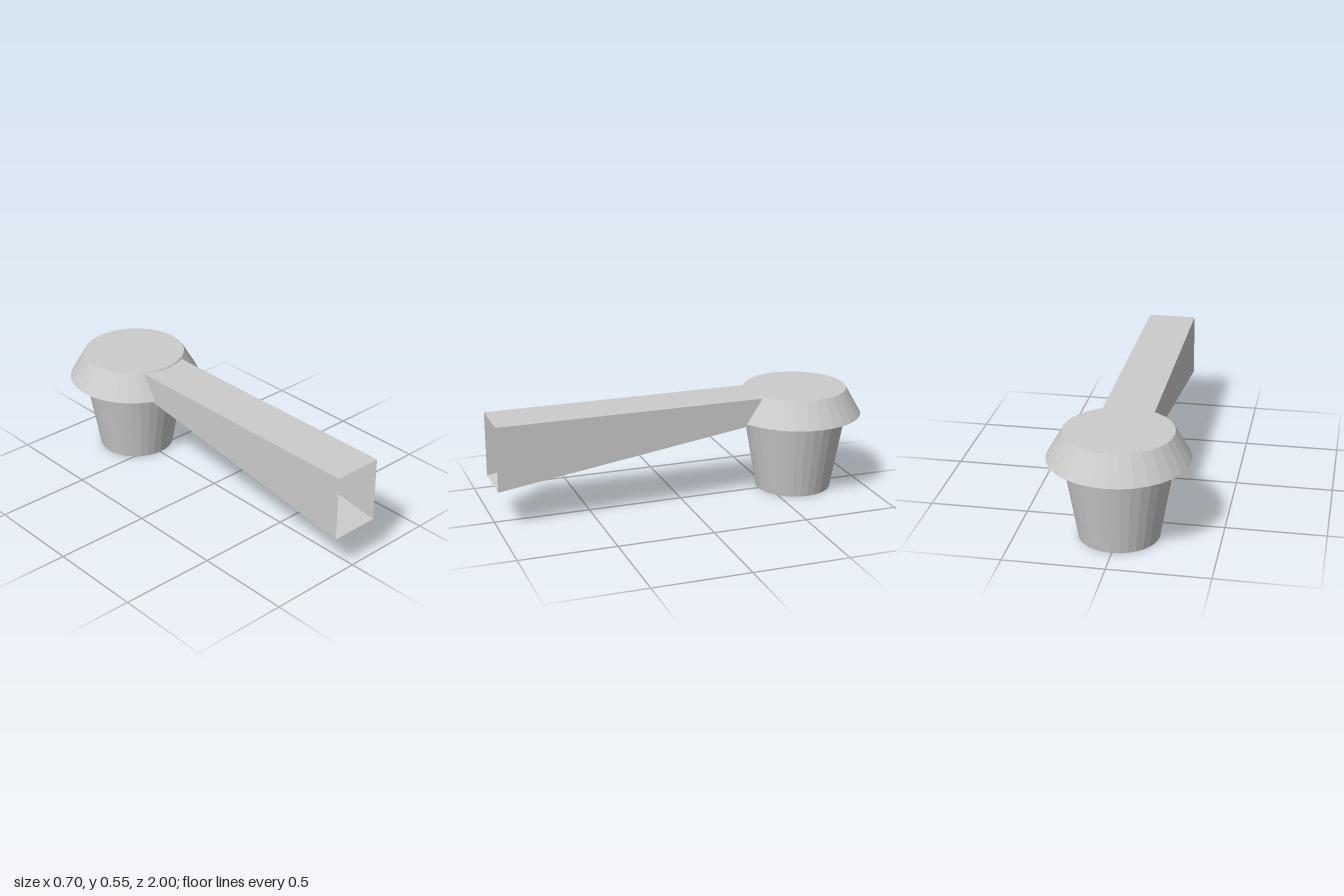
import * as THREE from 'three';

const SEGMENTS = 32;
const CENTER_Z = -0.645;

function makeMaterial() {
  return new THREE.MeshStandardMaterial({ color: 0xcccccc, flatShading: true, side: THREE.DoubleSide });
}

// Faceted solid of revolution standing on the pillar axis
function turned(name, profile) {
  const points = profile.map(([r, y]) => new THREE.Vector2(r, y));
  const mesh = new THREE.Mesh(new THREE.LatheGeometry(points, SEGMENTS), makeMaterial());
  mesh.name = name;
  mesh.position.z = CENTER_Z;
  return mesh;
}

// Open-ended rectangular sleeve lofted between a front and a back section
function sleeve(name, halfWidth, front, back) {
  const corners = ({ z, bottom, top }) => [
    [-halfWidth, bottom, z], [halfWidth, bottom, z], [halfWidth, top, z], [-halfWidth, top, z],
  ];
  const a = corners(front);
  const b = corners(back);
  const positions = [];
  for (let i = 0; i < 4; i++) {
    const j = (i + 1) % 4;
    positions.push(...a[i], ...b[i], ...b[j], ...a[i], ...b[j], ...a[j]);
  }
  const geometry = new THREE.BufferGeometry();
  geometry.setAttribute('position', new THREE.Float32BufferAttribute(positions, 3));
  geometry.computeVertexNormals();
  const mesh = new THREE.Mesh(geometry, makeMaterial());
  mesh.name = name;
  return mesh;
}

export function createModel() {
  const group = new THREE.Group();
  group.name = 'taperedPostWithArm';

  // Tapered cup with a closed base
  group.add(turned('cup', [[0, 0], [0.2, 0], [0.27, 0.4]]));

  // Flared cap with a shallow underside and a flat top
  group.add(turned('cap', [[0.27, 0.4], [0.35, 0.415], [0.27, 0.553], [0, 0.553]]));

  // Hollow arm: level top, floor rising towards the cap, back end buried in it
  group.add(sleeve('arm', 0.13,
    { z: 1, bottom: 0.208, top: 0.545 },
    { z: -0.45, bottom: 0.42, top: 0.545 }));

  return group;
}
